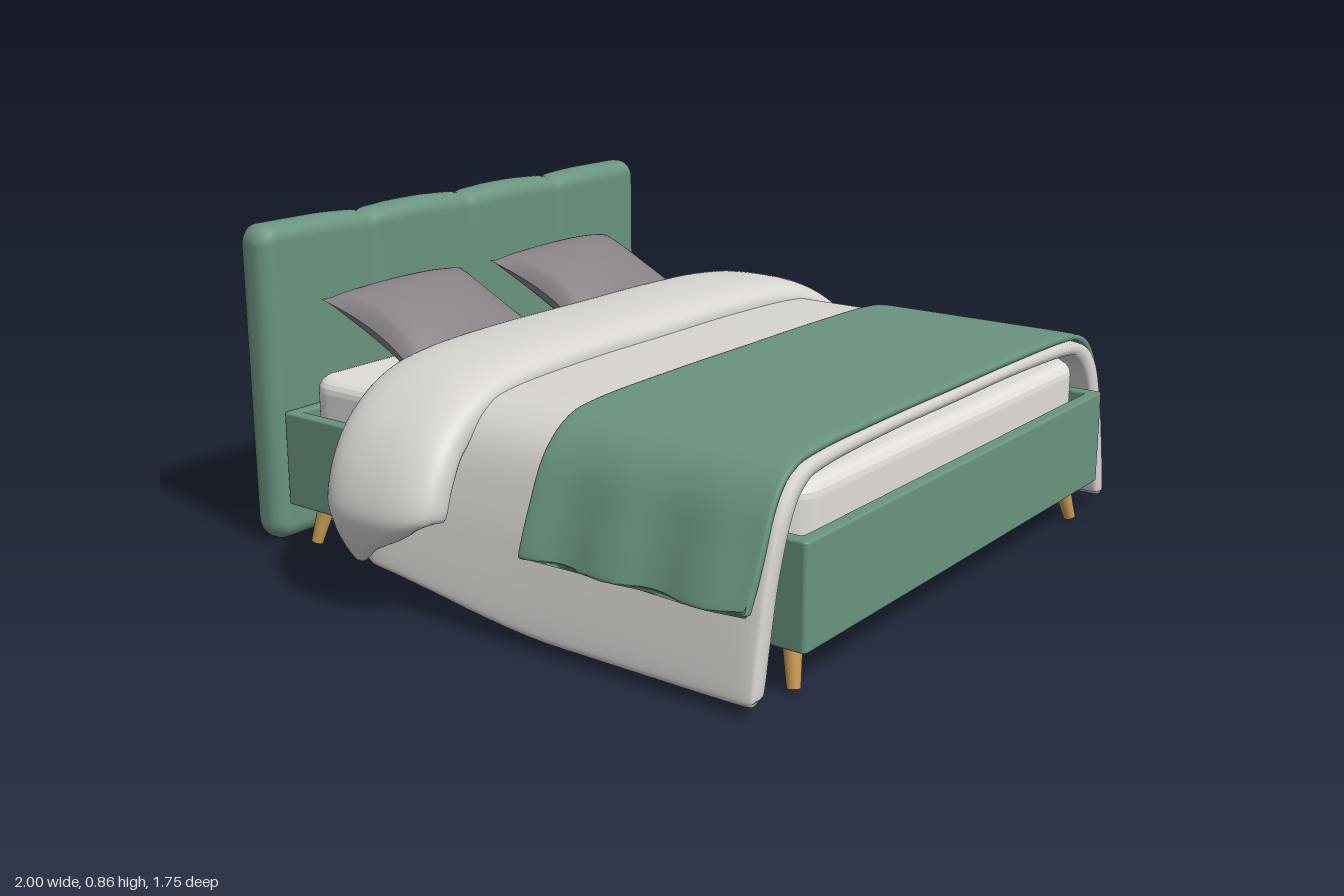
import * as THREE from 'three';
import { mergeGeometries } from 'three/addons/utils/BufferGeometryUtils.js';

const mat = (name, color) => {
  const m = new THREE.MeshStandardMaterial({ color });
  m.name = name;
  return m;
};

// Closed skin over equal-length rings, with a fan at each end
function loft(rings) {
  const n = rings[0].length, last = (rings.length - 1) * n;
  const pts = rings.flat(), idx = [];
  for (let j = 0; j < rings.length - 1; j++) {
    for (let i = 0; i < n; i++) {
      const a = j * n + i, b = j * n + (i + 1) % n;
      idx.push(a, b, a + n, b, b + n, a + n);
    }
  }
  const centre = (ring) => ring.reduce((s, p) => s.add(p), new THREE.Vector3()).divideScalar(n);
  const c0 = pts.length, c1 = c0 + 1;
  const all = [...pts, centre(rings[0]), centre(rings[rings.length - 1])];
  for (let i = 0; i < n; i++) {
    const k = (i + 1) % n;
    idx.push(c0, k, i, c1, last + i, last + k);
  }
  const g = new THREE.BufferGeometry().setFromPoints(all);
  g.setIndex(idx);
  g.computeVertexNormals();
  return g;
}

// Cloth hung over the bed. Each station, from the middle to the hem:
// [x, y, thickness, back z, front z]. Power sets how square the edges are.
function drape(half, power, wave = () => 0) {
  const mirrored = half.slice(1).reverse().map(([x, ...r]) => [-x, ...r]);
  const all = [...mirrored, ...half];
  const curve = (f) => new THREE.CatmullRomCurve3(all.map(f), false, 'catmullrom', 0.5);
  const path = curve(([x, y]) => new THREE.Vector3(x, y, 0));
  const size = curve(([, , t, z0, z1]) => new THREE.Vector3(t, z0, z1));
  const N = 30, S = 96, rings = [];
  for (let j = 0; j <= S; j++) {
    const p = path.getPoint(j / S), d = path.getTangent(j / S), q = size.getPoint(j / S);
    const ring = [];
    for (let i = 0; i < 2 * N; i++) {
      const w = -Math.cos(Math.PI * i / N);
      const h = Math.pow(Math.max(0, 1 - Math.abs(w) ** power), 1 / power) * (i < N ? 1 : -1);
      const z = (q.y + q.z) / 2 + w * (q.z - q.y) / 2;
      const off = q.x / 2 * (h - 1) + wave(p.x, z);
      ring.push(new THREE.Vector3(p.x - d.y * off, p.y + d.x * off, z));
    }
    rings.push(ring);
  }
  return loft(rings);
}

function roundedRect(w, d, r) {
  const x = w / 2, y = d / 2, s = new THREE.Shape();
  s.absarc(x - r, y - r, r, 0, Math.PI / 2);
  s.absarc(r - x, y - r, r, Math.PI / 2, Math.PI);
  s.absarc(r - x, r - y, r, Math.PI, Math.PI * 1.5);
  s.absarc(x - r, r - y, r, Math.PI * 1.5, Math.PI * 2);
  s.closePath();
  return s;
}

// Upright slab with a bevelled rim, standing on y = 0
function slab(shape, height, bevel) {
  const g = new THREE.ExtrudeGeometry(shape, {
    depth: height - 2 * bevel, bevelThickness: bevel, bevelSize: bevel,
    bevelOffset: -bevel, bevelSegments: 4, curveSegments: 10,
  });
  return g.translate(0, 0, bevel).rotateX(-Math.PI / 2);
}

// Padded headboard with four vertical channels
function headboardGeometry() {
  const W = 0.77, r = 0.045, xs = [], rings = [];
  for (let i = 0; i < 8; i++) xs.push(-W + r * (1 - Math.cos(Math.PI * i / 16)));
  for (let i = 0; i <= 144; i++) xs.push((W - r) * (i / 72 - 1));
  for (let i = 7; i >= 0; i--) xs.push(W - r * (1 - Math.cos(Math.PI * i / 16)));
  for (const x of xs) {
    const edge = Math.max(0, Math.abs(x) - W + r);
    const round = r - Math.sqrt(Math.max(0, r * r - edge * edge));
    const q = Math.abs(x) > 0.58 ? 0 : Math.abs(Math.cos(Math.PI * x / 0.385));
    const seam = 0.006 * q ** 3 + 0.005 * q ** 80;
    const hy = 0.4285 - round, hz = 0.055 - round - seam * 0.6;
    const cr = Math.min(r, hz), ring = [];
    for (let c = 0; c < 4; c++) {
      for (let k = 0; k <= 6; k++) {
        const a = (c + k / 6) * Math.PI / 2;
        const sy = c === 0 || c === 3 ? 1 : -1, sz = c < 2 ? 1 : -1;
        const y = sy * (hy - cr) + cr * Math.cos(a) - (sy > 0 ? seam : 0);
        ring.push(new THREE.Vector3(x, 0.43 + y, -0.823 + sz * (hz - cr) + cr * Math.sin(a)));
      }
    }
    rings.push(ring);
  }
  return loft(rings);
}

// Cushion with pulled corners, made of two bulged sheets
function pillowGeometry() {
  const sheets = [1, -1].map((side) => {
    const g = new THREE.PlaneGeometry(2, 2, 28, 28);
    if (side < 0) g.rotateY(Math.PI);
    const p = g.attributes.position;
    for (let i = 0; i < p.count; i++) {
      const u = p.getX(i), v = p.getY(i);
      const bulge = Math.sqrt(Math.max(0, (1 - u * u) * (1 - v * v)));
      p.setXYZ(i, 0.265 * u * (1 - 0.14 * (1 - v * v)),
        0.185 * v * (1 - 0.05 * (1 - u * u)), side * 0.083 * bulge * (1 + 0.15 * v * side));
    }
    g.computeVertexNormals();
    return g;
  });
  return mergeGeometries(sheets);
}

export function createModel() {
  const green = mat('green fabric', 0x6a947f);
  const linen = mat('duvet linen', 0xd8d5d1);
  const white = mat('mattress white', 0xe0ddd9);
  const grey = mat('pillow grey', 0x878185);
  const wood = mat('leg wood', 0xc79a52);
  const group = new THREE.Group();
  const add = (name, geometry, material, x = 0, y = 0, z = 0) => {
    const m = new THREE.Mesh(geometry, material);
    m.name = name;
    m.position.set(x, y, z);
    group.add(m);
    return m;
  };

  // Upholstered base with a recessed underside
  add('headboard', headboardGeometry(), green);
  const rail = roundedRect(1.48, 1.64, 0.012);
  rail.holes.push(new THREE.Path(roundedRect(1.41, 1.57, 0.01).getPoints().reverse()));
  add('frame', slab(rail, 0.255, 0.006), green, 0, 0.11, 0.057);
  add('basePanel', new THREE.BoxGeometry(1.43, 0.13, 1.59), green, 0, 0.23, 0.057);
  add('mattress', slab(roundedRect(1.4, 1.55, 0.09), 0.17, 0.035), white, 0, 0.29, 0.055);

  // Splayed tapered legs
  for (const sx of [-1, 1]) {
    for (const sz of [-1, 1]) {
      const leg = add('leg', new THREE.CylinderGeometry(0.029, 0.016, 0.18, 20), wood,
        sx * 0.677, 0.089, 0.057 + sz * 0.747);
      leg.rotation.set(-sz * 0.2, 0, sx * 0.22);
    }
  }

  // Bedding; the duvet hem rises towards the head of the bed
  const duvet = drape([
    [0, 0.53, 0.035, -0.4, 0.832], [0.3, 0.53, 0.035, -0.4, 0.832],
    [0.6, 0.522, 0.04, -0.4, 0.832], [0.71, 0.5, 0.05, -0.39, 0.836],
    [0.785, 0.43, 0.06, -0.38, 0.84], [0.833, 0.3, 0.06, -0.36, 0.84],
    [0.864, 0.16, 0.06, -0.34, 0.84], [0.882, 0.05, 0.055, -0.32, 0.84],
    [0.878, 0.026, 0.035, -0.31, 0.835],
  ], 9);
  const dp = duvet.attributes.position;
  for (let i = 0; i < dp.count; i++) {
    const y = dp.getY(i), t = THREE.MathUtils.smoothstep(-dp.getZ(i), -0.3, 0.4);
    if (y < 0.5) dp.setY(i, 0.5 - (0.5 - y) * (1 - 0.14 * t));
  }
  duvet.computeVertexNormals();
  add('duvet', duvet, linen);

  add('duvetFold', drape([
    [0, 0.594, 0.13, -0.42, -0.065], [0.3, 0.594, 0.13, -0.42, -0.065],
    [0.55, 0.585, 0.13, -0.42, -0.06], [0.72, 0.557, 0.13, -0.412, -0.05],
    [0.86, 0.485, 0.13, -0.395, -0.035], [0.95, 0.39, 0.14, -0.38, -0.02],
    [0.998, 0.28, 0.15, -0.365, -0.025], [0.985, 0.205, 0.14, -0.352, -0.1],
    [0.95, 0.15, 0.1, -0.342, -0.21], [0.91, 0.105, 0.05, -0.335, -0.285],
  ], 2.6), linen);

  add('throwBlanket', drape([
    [0, 0.546, 0.02, 0.2, 0.82], [0.3, 0.546, 0.02, 0.2, 0.82],
    [0.6, 0.54, 0.02, 0.2, 0.82], [0.72, 0.518, 0.02, 0.2, 0.822],
    [0.8, 0.45, 0.022, 0.2, 0.825], [0.855, 0.34, 0.024, 0.203, 0.825],
    [0.893, 0.245, 0.024, 0.205, 0.82], [0.895, 0.228, 0.014, 0.207, 0.815],
  ], 10, (x, z) => {
    const drop = THREE.MathUtils.smoothstep(Math.abs(x), 0.74, 0.89);
    return drop * (0.008 * Math.cos((z - 0.2) * 25) - 0.012 * (z - 0.2));
  }), green);

  // Pillows leaning towards the headboard
  const pillow = pillowGeometry();
  for (const sx of [-1, 1]) {
    add('pillow', pillow, grey, sx * 0.327, 0.565, -0.59).rotation.x = -Math.PI / 2 + 0.43;
  }
  return group;
}
